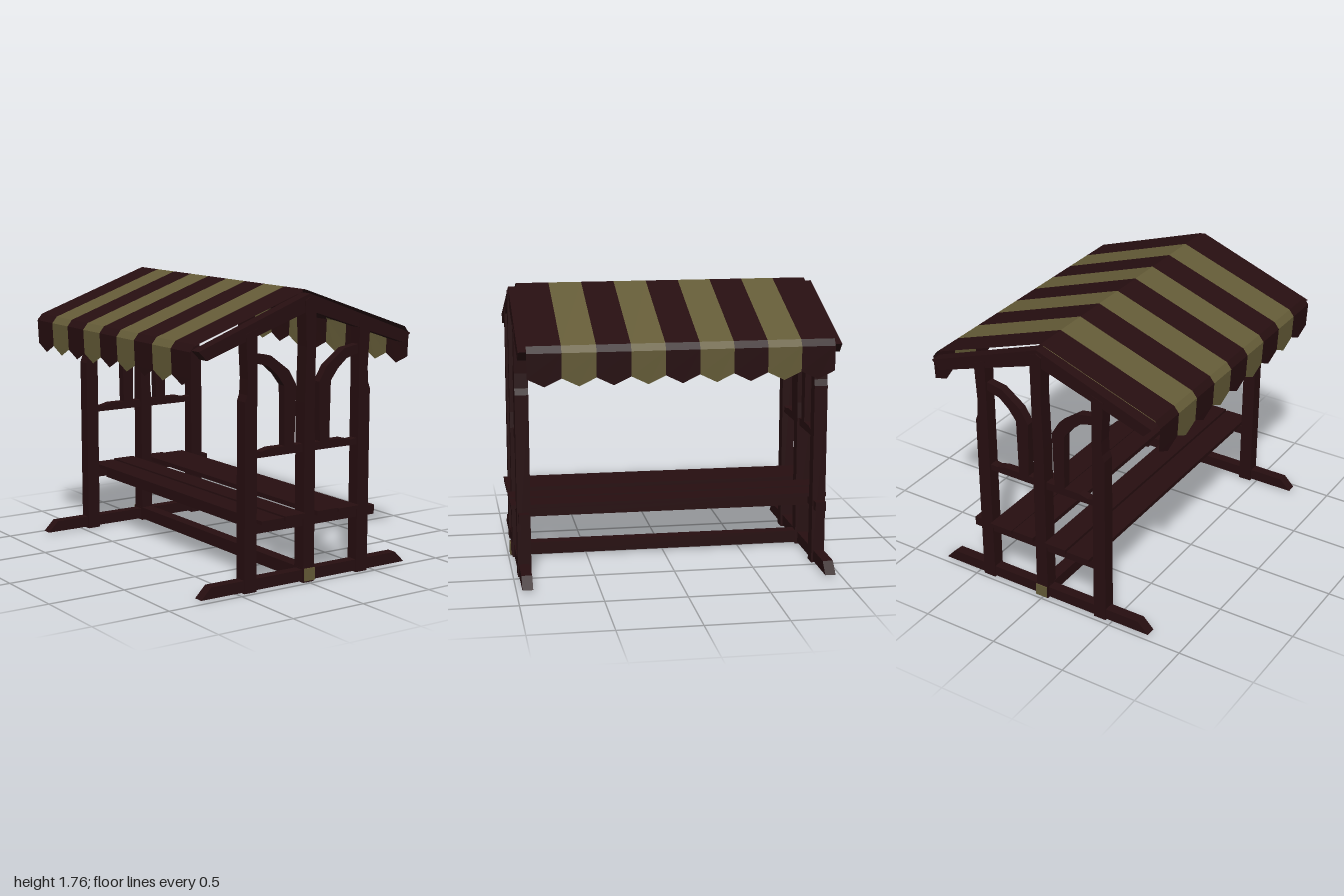
import * as THREE from 'three';

const dark = new THREE.MeshStandardMaterial({ color: 0x260e10, side: THREE.DoubleSide });
dark.name = 'dark wood and cloth';
const olive = new THREE.MeshStandardMaterial({ color: 0x645b37, side: THREE.DoubleSide });
olive.name = 'olive cloth';

const mirrorX = (pts) => pts.map(([x, y]) => [-x, y]).reverse();

export function createModel() {
  const model = new THREE.Group();
  model.name = 'coveredBench';

  const add = (name, geometry, material = dark, parent = model) => {
    const mesh = new THREE.Mesh(geometry, material);
    mesh.name = name;
    parent.add(mesh);
    return mesh;
  };
  // Box given by its extents
  const box = (name, x0, x1, y0, y1, z0, z1, material = dark, parent = model) =>
    add(name, new THREE.BoxGeometry(x1 - x0, y1 - y0, z1 - z0)
      .translate((x0 + x1) / 2, (y0 + y1) / 2, (z0 + z1) / 2), material, parent);
  // Front outline extruded from z0 to z1
  const slab = (name, pts, z0, z1, parent) => {
    const shape = new THREE.Shape(pts.map(([x, y]) => new THREE.Vector2(x, y)));
    const g = new THREE.ExtrudeGeometry(shape, { depth: z1 - z0, bevelEnabled: false });
    return add(name, g.translate(0, 0, z0), dark, parent);
  };
  // Flat faces, each a convex polygon of 3D points
  const faces = (name, polys, material, parent) => {
    const pos = [];
    for (const p of polys)
      for (let i = 1; i < p.length - 1; i++) pos.push(...p[0], ...p[i], ...p[i + 1]);
    const g = new THREE.BufferGeometry();
    g.setAttribute('position', new THREE.Float32BufferAttribute(pos, 3));
    g.computeVertexNormals();
    return add(name, g, material, parent);
  };

  // Outlines of the end frame, right-hand half where mirrored
  const post = [[0.375, 0], [0.46, 0], [0.46, 1.14], [0.445, 1.18], [0.44, 1.27], [0.455, 1.53], [0.375, 1.56]];
  const centrePost = [[-0.035, 0], [0.045, 0], [0.045, 0.85], [0.037, 0.95], [0.045, 1.7], [0, 1.72],
    [-0.035, 1.7], [-0.025, 1.43], [-0.035, 1.1]];
  const rafter = [[0, 1.64], [0.72, 1.4], [0.775, 1.455], [0, 1.74]];
  const brace = [[0.095, 0.84], [0.165, 0.84], [0.172, 1.21], [0.225, 1.28], [0.29, 1.335], [0.38, 1.36],
    [0.38, 1.415], [0.27, 1.395], [0.14, 1.3], [0.085, 1.21]];
  const foot = [[-0.76, 0.01], [0.76, 0.01], [0.69, 0.08], [-0.69, 0.08]];
  const rail = [[-0.38, 0.8], [0.38, 0.8], [0.38, 0.84], [0.33, 0.835], [0.27, 0.85],
    [-0.27, 0.85], [-0.33, 0.835], [-0.38, 0.845]];

  // End frames, front and back
  for (const s of [1, -1]) {
    const frame = new THREE.Group();
    frame.name = s > 0 ? 'frontFrame' : 'backFrame';
    model.add(frame);
    const part = (name, pts, near, far) =>
      slab(name, pts, Math.min(s * near, s * far), Math.max(s * near, s * far), frame);
    part('foot', foot, 0.9, 0.965);
    part('middleRail', rail, 0.9, 0.955);
    part('centrePost', centrePost, 0.885, 0.975);
    part('seatRail', [[-0.44, 0.35], [0.515, 0.35], [0.515, 0.408], [-0.44, 0.408]], 0.895, 0.962);
    for (const [side, flip] of [['left', (p) => p], ['right', mirrorX]]) {
      part(side + 'Post', flip(post), 0.887, 0.97);
      part(side + 'Brace', flip(brace), 0.9, 0.955);
      part(side + 'Rafter', flip(rafter), 0.89, 0.967);
    }
    // Painted end of the ground beam
    const z = s * 0.987;
    box('beamEnd', -0.036, 0.044, 0.012, 0.09, z - 0.003, z + 0.003, olive, frame);
  }

  // Long beams joining the frames
  box('groundBeam', -0.036, 0.044, 0.012, 0.09, -0.985, 0.985);
  box('ridgeBeam', -0.03, 0.035, 1.64, 1.73, -0.9, 0.9);

  // Seat planks on two bearers
  [[-0.36, -0.2], [-0.19, -0.04], [0.05, 0.2], [0.21, 0.37]].forEach(([a, b], i) =>
    box('seatPlank' + (i + 1), a, b, 0.408, 0.437 - (i % 3 ? 0 : 0.006), -1, 1));
  for (const x of [-0.28, 0.28]) box('seatBearer', x - 0.03, x + 0.03, 0.34, 0.408, -0.9, 0.9);

  // Striped canopy with a pointed hem
  const canopy = new THREE.Group();
  canopy.name = 'canopy';
  model.add(canopy);
  const section = [[0, 1.76], [0.77, 1.49], [0.802, 1.45], [0.795, 1.3]];
  const count = 9, width = 1.84 / count;
  for (let i = 0; i < count; i++) {
    const z0 = -0.92 + i * width, z1 = z0 + width;
    const polys = [];
    for (const s of [1, -1]) {
      const at = (k, z) => [s * section[k][0], section[k][1], z];
      const strip = [0, 1, 2].map((k) => [at(k, z0), at(k, z1), at(k + 1, z1), at(k + 1, z0)]);
      strip[2].splice(3, 0, [s * 0.792, 1.25, (z0 + z1) / 2]);
      polys.push(...strip.map((p) => (s > 0 ? p : p.reverse())));
    }
    faces('canopyStripe' + (i + 1), polys, i % 2 ? olive : dark, canopy);
  }

  // Two-tone lining beneath the right slope
  const ridge = (z) => [-0.01, 1.748, z], eave = (z) => [-0.77, 1.481, z];
  faces('darkLining', [[ridge(0.915), ridge(-0.915), eave(0.915)]], dark, canopy);
  faces('oliveLining', [[eave(0.915), ridge(-0.915), eave(-0.915)]], olive, canopy);

  return model;
}
